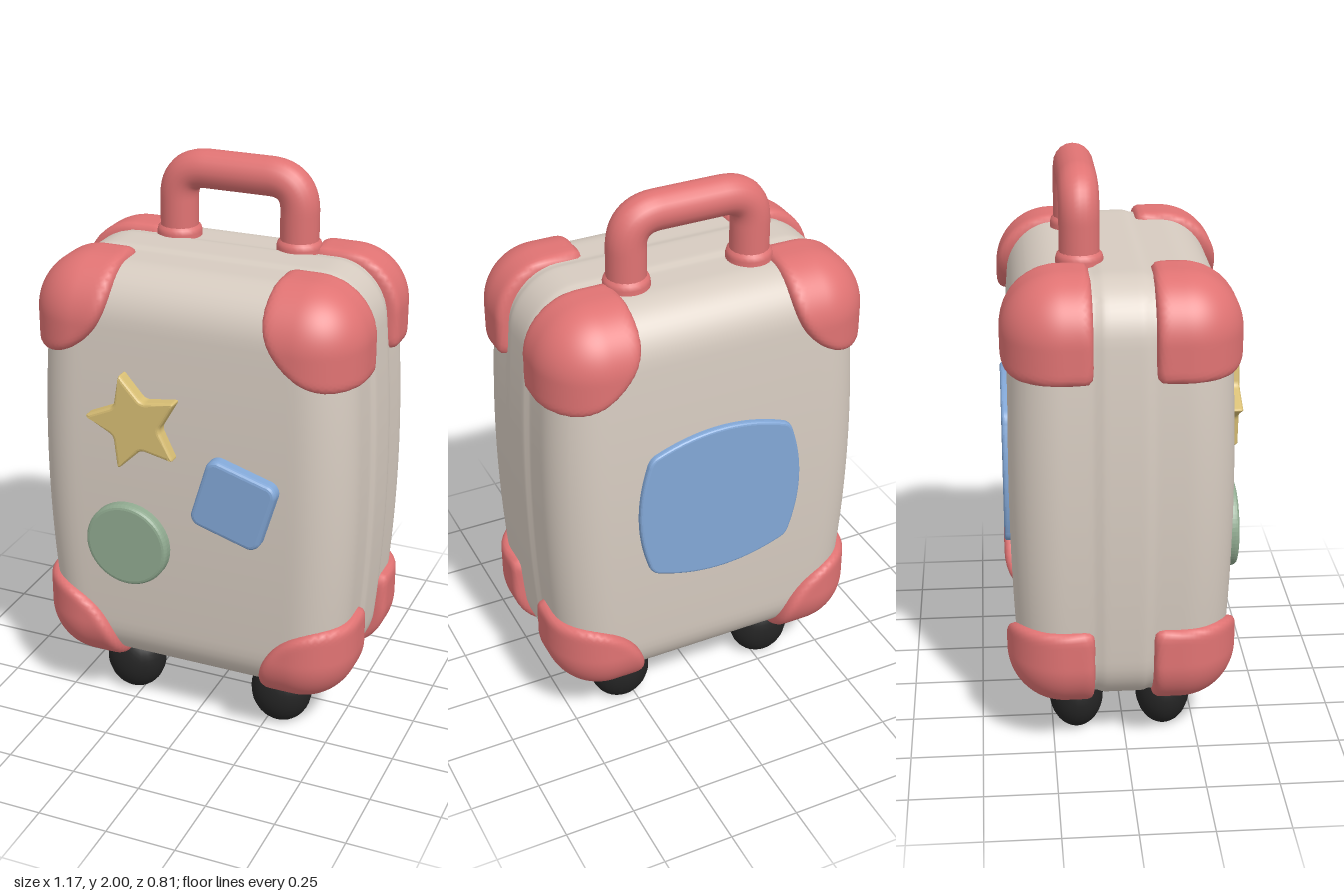
import * as THREE from 'three';
import { mergeVertices } from 'three/addons/utils/BufferGeometryUtils.js';

const mat = (name, color) => {
  const m = new THREE.MeshStandardMaterial({ color });
  m.name = name;
  return m;
};
const CENTRE = new THREE.Vector3(0, 0.942, -0.012);

// Weld a geometry so that its normals come out smooth
function smooth(geo) {
  geo.deleteAttribute('uv');
  geo.deleteAttribute('normal');
  const g = mergeVertices(geo, 1e-4);
  g.computeVertexNormals();
  return g;
}

// Move every vertex of a geometry by a rule
function reshape(geo, rule) {
  const pos = geo.attributes.position, v = new THREE.Vector3();
  for (let i = 0; i < pos.count; i++) {
    rule(v.fromBufferAttribute(pos, i));
    pos.setXYZ(i, v.x, v.y, v.z);
  }
  return smooth(geo);
}

// Rounded shell, slightly bulging, with a raised band round the middle
function shellGeometry() {
  const half = new THREE.Vector3(0.575, 0.748, 0.375), r = 0.17;
  const inner = half.clone().subScalar(r), outer = inner.clone().negate();
  const geo = new THREE.BoxGeometry(half.x * 2, half.y * 2, half.z * 2, 40, 48, 48);
  return reshape(geo, (v) => {
    const core = v.clone().clamp(outer, inner);
    const d = v.clone().sub(core).normalize();
    v.copy(core).addScaledVector(d, r);
    const band = 1 - THREE.MathUtils.smoothstep(Math.abs(v.z), 0.07, 0.1);
    v.x += d.x * 0.01 * band;
    v.y += d.y * 0.008 * band;
    const taper = 1 - 0.08 * (v.y / half.y) ** 2;
    v.x *= taper;
    v.z *= taper;
  });
}

// Signed distance that describes a corner guard in the +x +y +z corner
function guardDistance(x, y, z) {
  const r = 0.17;
  const q = [x - 0.558 + r, y - 0.74 + r, z - 0.366 + r];
  const skin = Math.hypot(...q.map((a) => Math.max(a, 0))) + Math.min(Math.max(...q), 0) - r - 0.028;
  const R = 0.26, a = 0.272 + R - x, b = 0.442 + R - y;
  const cut = Math.hypot(Math.max(a, 0), Math.max(b, 0)) + Math.min(Math.max(a, b), 0) - R;
  const smax = (m, n, k) => Math.max(m, n) + Math.max(k - Math.abs(m - n), 0) ** 2 / (4 * k);
  return smax(smax(skin, cut, 0.03), 0.1 - z, 0.03);
}

// Corner guard: push a sphere outwards until it meets the distance surface
function guardGeometry(sx, sy, sz) {
  return reshape(new THREE.IcosahedronGeometry(1, 14), (v) => {
    const d = v.clone().normalize();
    let lo = 0, hi = 0.6;
    for (let i = 0; i < 24; i++) {
      const t = (lo + hi) / 2;
      const f = guardDistance(0.43 + d.x * t * sx, 0.59 + d.y * t * sy, 0.235 + d.z * t * sz);
      if (f < 0) lo = t; else hi = t;
    }
    v.set(0.43 * sx, 0.59 * sy, 0.235 * sz).addScaledVector(d, lo);
  });
}

// Plate with bevelled rim; its front lies at z = depth
function plate(shape, depth, bevel) {
  return new THREE.ExtrudeGeometry(shape, {
    depth: depth - bevel, bevelEnabled: true, bevelThickness: bevel,
    bevelSize: bevel, bevelOffset: -bevel, bevelSegments: 3, curveSegments: 32,
  });
}

function starShape(outer, inner, turn) {
  const pts = [];
  for (let i = 0; i < 10; i++) {
    const a = turn + (i * Math.PI) / 5, r = i % 2 ? inner : outer;
    pts.push(new THREE.Vector2(Math.cos(a) * r, Math.sin(a) * r));
  }
  // Clip the tips with short curves
  const s = new THREE.Shape();
  pts.forEach((p, i) => {
    const prev = pts[(i + 9) % 10], next = pts[(i + 1) % 10];
    const from = p.clone().lerp(prev, 0.14), to = p.clone().lerp(next, 0.14);
    if (i) s.lineTo(from.x, from.y); else s.moveTo(from.x, from.y);
    s.quadraticCurveTo(p.x, p.y, to.x, to.y);
  });
  s.closePath();
  return s;
}

function roundedSquare(h, r) {
  const s = new THREE.Shape();
  [[1, 1], [-1, 1], [-1, -1], [1, -1]].forEach(([x, y], i) => {
    s.absarc(x * (h - r), y * (h - r), r, (i * Math.PI) / 2, ((i + 1) * Math.PI) / 2);
  });
  s.closePath();
  return s;
}

// Panel with four outward-bowed edges and softened corners
function bowedShape() {
  const s = new THREE.Shape();
  s.moveTo(0.27, 0.2);
  s.quadraticCurveTo(0.262, 0.235, 0.23, 0.245);
  s.quadraticCurveTo(0, 0.335, -0.23, 0.245);
  s.quadraticCurveTo(-0.262, 0.235, -0.27, 0.2);
  s.quadraticCurveTo(-0.335, 0, -0.27, -0.2);
  s.quadraticCurveTo(-0.262, -0.235, -0.23, -0.245);
  s.quadraticCurveTo(0, -0.335, 0.23, -0.245);
  s.quadraticCurveTo(0.262, -0.235, 0.27, -0.2);
  s.quadraticCurveTo(0.335, 0, 0.27, 0.2);
  return s;
}

export function createModel() {
  const model = new THREE.Group();
  model.name = 'suitcase';
  const cream = mat('cream', 0xd6cbc0), red = mat('red', 0xe07373), black = mat('black', 0x242424);
  const yellow = mat('yellow', 0xd8be74), blue = mat('blue', 0x82a7d6), green = mat('green', 0x90aa90);
  const add = (name, geo, material, x = 0, y = 0, z = 0, parent = model) => {
    const m = new THREE.Mesh(geo, material);
    m.name = name;
    m.position.set(x, y, z);
    parent.add(m);
    return m;
  };

  add('shell', shellGeometry(), cream, ...CENTRE.toArray());

  // Eight corner guards
  for (const sx of [-1, 1]) for (const sy of [-1, 1]) for (const sz of [-1, 1]) {
    add('cornerGuard', guardGeometry(sx, sy, sz), red, ...CENTRE.toArray());
  }

  // Handle: bent tube with a collar at each foot
  const hx = 0.222, top = 1.934, bend = 0.11, hz = -0.137;
  const V = (x, y) => new THREE.Vector3(x, y, 0);
  const path = new THREE.CurvePath();
  path.add(new THREE.LineCurve3(V(-hx, 1.64), V(-hx, top - bend)));
  path.add(new THREE.QuadraticBezierCurve3(V(-hx, top - bend), V(-hx, top), V(-hx + bend, top)));
  path.add(new THREE.LineCurve3(V(-hx + bend, top), V(hx - bend, top)));
  path.add(new THREE.QuadraticBezierCurve3(V(hx - bend, top), V(hx, top), V(hx, top - bend)));
  path.add(new THREE.LineCurve3(V(hx, top - bend), V(hx, 1.64)));
  add('handle', new THREE.TubeGeometry(path, 80, 0.067, 20), red, 0, 0, hz);
  const collar = [[0.079, -0.05], [0.079, 0.03], [0.075, 0.045], [0.064, 0.055]]
    .map(([r, y]) => new THREE.Vector2(r, y));
  for (const s of [-1, 1]) add('handleCollar', new THREE.LatheGeometry(collar, 24), red, s * hx, 1.675, hz);

  // Four wheels: egg shapes with a flattened foot, on short stems
  const wheelGeo = reshape(new THREE.SphereGeometry(1, 24, 18), (v) => {
    v.set(v.x * 0.112, Math.max(v.y * 0.127, -0.117), v.z * 0.096);
  });
  const stemGeo = new THREE.CylinderGeometry(0.075, 0.075, 0.1, 20);
  for (const x of [-0.29, 0.29]) for (const z of [0.143, -0.165]) {
    const wheel = new THREE.Group();
    wheel.name = 'wheel';
    wheel.position.set(x, 0.117, z);
    add('wheelBall', wheelGeo, black, 0, 0, 0, wheel);
    add('wheelStem', stemGeo, black, 0, 0.08, 0, wheel);
    model.add(wheel);
  }

  // Raised stickers on the front
  const face = 0.34;
  add('starSticker', plate(starShape(0.185, 0.092, Math.PI * 0.99), 0.062, 0.012), yellow, -0.16, 1.19, face);
  add('roundSticker', plate(new THREE.Shape().absarc(0, 0, 0.153, 0, Math.PI * 2), 0.06, 0.015), green, -0.2, 0.725, face);
  add('squareSticker', plate(roundedSquare(0.13, 0.04), 0.067, 0.015), blue, 0.2, 0.96, face).rotation.z = -0.29;

  // Large panel on the back
  add('backPanel', plate(bowedShape(), 0.04, 0.01), blue, 0, 0.94, -0.365).rotation.y = Math.PI;
  return model;
}
